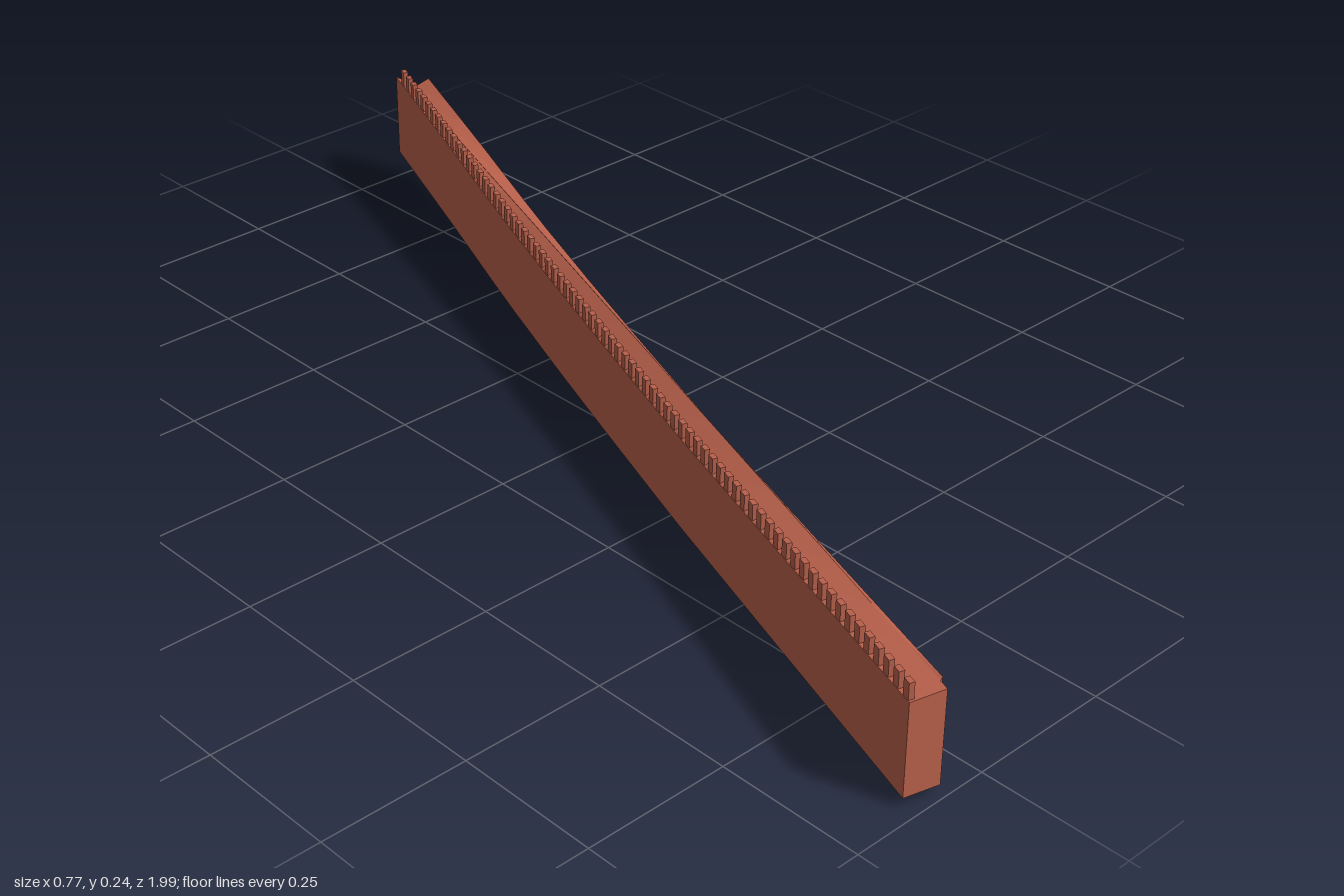
import * as THREE from 'three';

const brick = new THREE.MeshStandardMaterial({ color: 0xb8604b });
brick.name = 'brick red';

const HEIGHT = 0.16, STEPS = 20, MERLONS = 74;
const lerp = THREE.MathUtils.lerp;

// ground line along the wall: [fraction of length, height]
const GROUND = [[0, 0.016], [0.18, 0.008], [0.36, 0.001], [0.5, 0.004],
  [0.6, 0.008], [0.72, 0.017], [0.86, 0.037], [1, 0.052]];

function ground(t) {
  t = THREE.MathUtils.clamp(t, 0, 1);
  let i = 0;
  while (i < GROUND.length - 2 && t > GROUND[i + 1][0]) i++;
  const [a, ya] = GROUND[i], [b, yb] = GROUND[i + 1];
  return lerp(ya, yb, (t - a) / (b - a));
}

// plan lines running from the front end to the back end
const line = (x0, z0, x1, z1) => (t) => ({ x: lerp(x0, x1, t), z: lerp(z0, z1, t) });
const battlementEdge = line(-0.385, 0.975, 0.347, -1.0);
const ridgeEdge = line(-0.326, 0.99, 0.364, -0.99);
const ridgeInner = line(-0.32, 0.972, 0.353, -0.957);
const outerEdge = line(-0.313, 0.97, 0.384, -0.946);
const ridgeTop = (t) => lerp(0.177, 0.201, t);
const deckTop = (t) => ground(t) + HEIGHT;

// sweep a four-cornered section between two plan lines
function sweep(name, left, right, leftTop, rightTop) {
  const pos = [];
  const quad = (a, b, c, d) => [a, b, c, a, c, d].forEach((p) => pos.push(...p));
  const section = (t) => {
    const l = left(t), r = right(t), y = ground(t);
    return [[l.x, y, l.z], [r.x, y, r.z], [r.x, rightTop(t), r.z], [l.x, leftTop(t), l.z]];
  };
  for (let i = 0; i < STEPS; i++) {
    const a = section(i / STEPS), b = section((i + 1) / STEPS);
    for (let k = 0; k < 4; k++) {
      const n = (k + 1) % 4;
      quad(a[k], b[k], b[n], a[n]);
    }
  }
  const f = section(0), e = section(1);
  quad(f[0], f[1], f[2], f[3]);
  quad(e[3], e[2], e[1], e[0]);
  const geo = new THREE.BufferGeometry();
  geo.setAttribute('position', new THREE.Float32BufferAttribute(pos, 3));
  geo.computeVertexNormals();
  const mesh = new THREE.Mesh(geo, brick);
  mesh.name = name;
  return mesh;
}

export function createModel() {
  const group = new THREE.Group();
  group.name = 'battlementWall';

  // wall halves on either side of the straight ridge
  group.add(sweep('mainWall', battlementEdge, ridgeEdge, deckTop, ridgeTop));
  group.add(sweep('outerWall', ridgeInner, outerEdge, ridgeTop, (t) => deckTop(t) + 0.003));

  // row of small merlons along one edge
  const merlons = new THREE.Group();
  merlons.name = 'merlons';
  const box = new THREE.BoxGeometry(0.009, 0.04, 0.015);
  const angle = Math.atan2(-0.732, 1.975);
  for (let i = 0; i < MERLONS; i++) {
    const t = lerp(0.006, 0.982, i / (MERLONS - 1));
    const p = battlementEdge(t);
    const merlon = new THREE.Mesh(box, brick);
    merlon.name = 'merlon';
    merlon.position.set(p.x + 0.005, deckTop(t) + 0.008, p.z + 0.002);
    merlon.rotation.y = angle;
    merlons.add(merlon);
  }
  group.add(merlons);
  return group;
}
